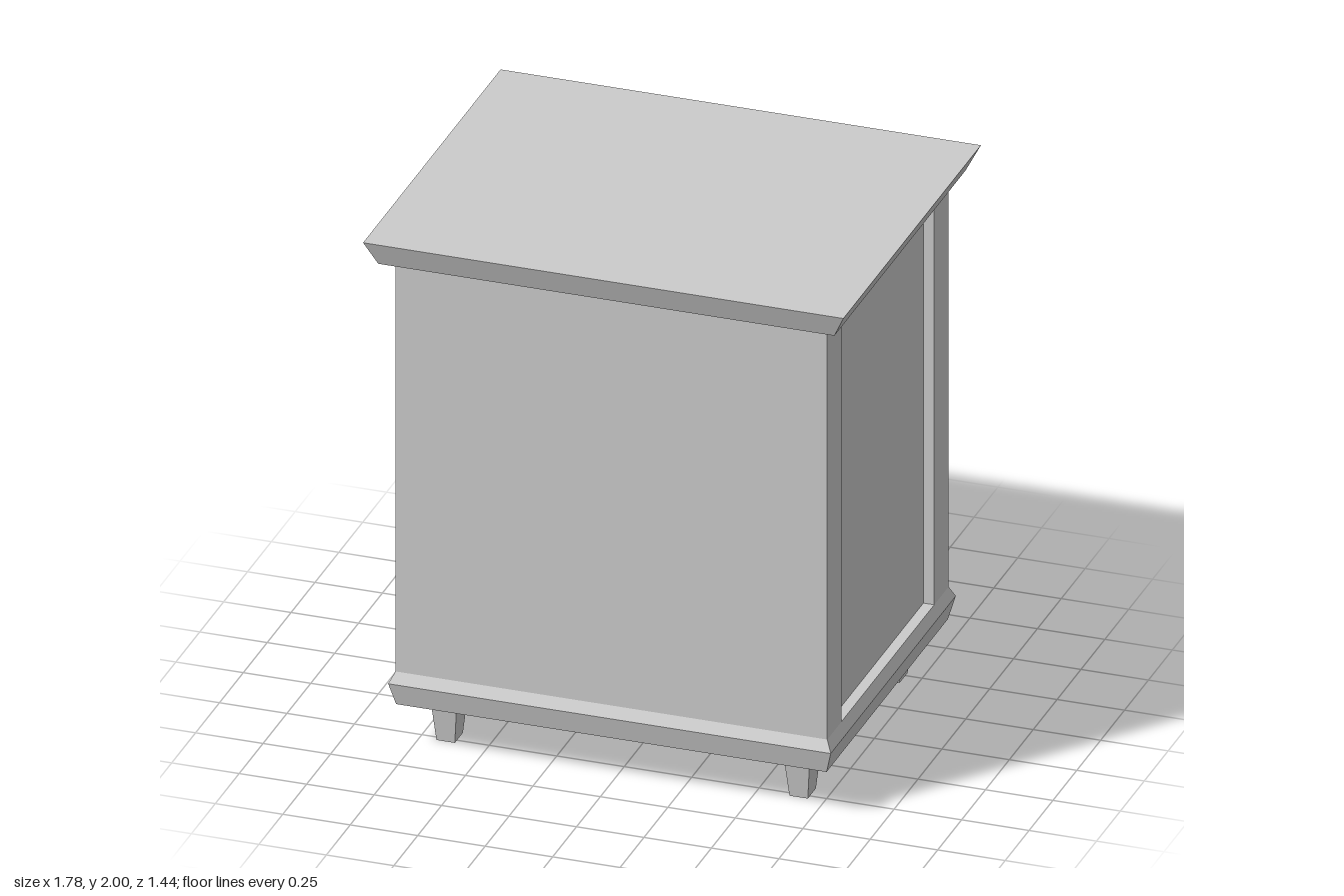
import * as THREE from 'three';

const material = new THREE.MeshStandardMaterial({ color: 0xcccccc, flatShading: true });

function addMesh(parent, name, geometry, x = 0, y = 0, z = 0) {
  const mesh = new THREE.Mesh(geometry, material);
  mesh.name = name;
  mesh.position.set(x, y, z);
  parent.add(mesh);
  return mesh;
}

// Box given by its bottom and top heights
function block(width, y0, y1, z0, z1) {
  return new THREE.BoxGeometry(width, y1 - y0, z1 - z0).translate(0, (y0 + y1) / 2, (z0 + z1) / 2);
}

// Box whose bottom and top rectangles differ in size
function taperedBox(y0, bottom, y1, top) {
  const geometry = new THREE.BoxGeometry(1, y1 - y0, 1).translate(0, (y0 + y1) / 2, 0);
  const p = geometry.attributes.position;
  const middle = (y0 + y1) / 2;
  for (let i = 0; i < p.count; i++) {
    const [w, d] = p.getY(i) > middle ? top : bottom;
    p.setX(i, p.getX(i) * w);
    p.setZ(i, p.getZ(i) * d);
  }
  geometry.computeVertexNormals();
  return geometry;
}

function rectangle(target, x0, y0, x1, y1) {
  target.moveTo(x0, y0);
  target.lineTo(x1, y0);
  target.lineTo(x1, y1);
  target.lineTo(x0, y1);
  target.closePath();
  return target;
}

// Bent strap handle: end tabs, slanted arms and a straight grip, with its foot at z = 0
function handleGeometry(height) {
  const half = [[0.25, 0], [0.25, 0.011], [0.2, 0.011], [0.145, 0.056]];
  const inner = [[0.135, 0.042], [0.185, 0]];
  const outline = [
    ...half,
    ...half.map(([x, d]) => [-x, d]).reverse(),
    ...inner.map(([x, d]) => [-x, d]).reverse(),
    ...inner,
  ];
  const shape = new THREE.Shape(outline.map(([x, d]) => new THREE.Vector2(x, d)));
  return new THREE.ExtrudeGeometry(shape, { depth: height, bevelEnabled: false })
    .translate(0, 0, -height / 2)
    .rotateX(-Math.PI / 2);
}

export function createModel() {
  const model = new THREE.Group();
  model.name = 'drawerCabinet';

  // Worktop and plinth
  addMesh(model, 'top', taperedBox(1.91, [1.69, 1.375], 2, [1.78, 1.44]));
  addMesh(model, 'plinthLower', taperedBox(0.175, [1.595, 1.27], 0.26, [1.64, 1.31]));
  addMesh(model, 'plinthUpper', taperedBox(0.26, [1.64, 1.31], 0.302, [1.6, 1.27]));

  // Carcass: the core is narrower, which leaves the recessed side panels
  const y0 = 0.3, y1 = 1.91;
  addMesh(model, 'core', block(1.52, y0, y1, -0.49, 0.49));
  addMesh(model, 'plainPanel', block(1.6, y0, y1, 0.485, 0.635));
  addMesh(model, 'drawerBacking', block(1.6, y0, y1, -0.595, -0.485));

  // Drawer face with a finger slot above each drawer
  const face = rectangle(new THREE.Shape(), -0.8, y0, 0.8, y1);
  for (const y of [0.855, 1.412, 1.842]) {
    face.holes.push(rectangle(new THREE.Path(), -0.69, y, 0.69, y + 0.063));
  }
  const faceGeometry = new THREE.ExtrudeGeometry(face, { depth: 0.04, bevelEnabled: false });
  addMesh(model, 'drawerFace', faceGeometry, 0, 0, -0.635);

  // Handles
  const handle = handleGeometry(0.065);
  for (const y of [0.57, 1.15, 1.647]) addMesh(model, 'handle', handle, 0, y, -0.635);

  // Tapered legs
  const leg = taperedBox(0, [0.068, 0.084], 0.18, [0.1, 0.132]);
  for (const x of [-0.654, 0.654]) {
    for (const z of [-0.48, 0.48]) addMesh(model, 'leg', leg, x, 0, z);
  }

  return model;
}
